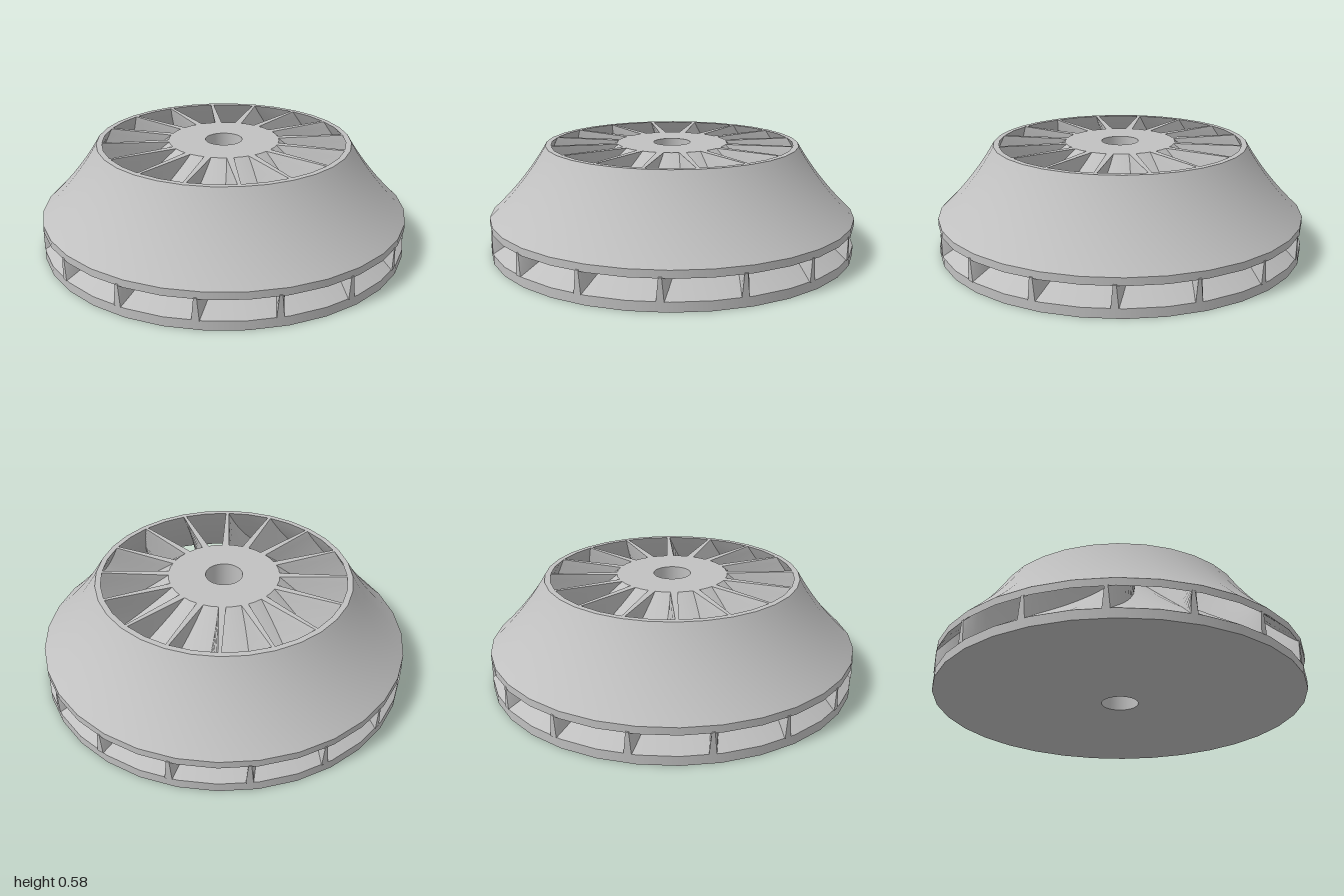
import * as THREE from 'three';
import { mergeGeometries } from 'three/addons/utils/BufferGeometryUtils.js';

const SEGMENTS = 32, BLADES = 16, STEPS = 14;
const SWEEP = THREE.MathUtils.degToRad(13.75);

// Meridional flow curves (radius, height), from the inlet to the outer rim
const v = (x, y) => new THREE.Vector2(x, y);
const arc = (a, mid, b) => new THREE.QuadraticBezierCurve(a, mid, b);
const hubCurve = arc(v(0.3, 0.58), v(0.63, 0.3), v(1, 0.05));
const shroudInner = arc(v(0.66, 0.58), v(0.79, 0.35), v(1, 0.16));
const shroudOuter = arc(v(0.69, 0.58), v(0.81, 0.375), v(1, 0.2));

// Revolve several profile spans; creases stay sharp between spans
function revolve(spans) {
  return mergeGeometries(spans.map((pts) => new THREE.LatheGeometry(pts, SEGMENTS)));
}

// One swept blade, thick at the hub and thin at the shroud
function bladeGeometry() {
  const section = (t) => {
    const h = hubCurve.getPoint(t), s = shroudInner.getPoint(t);
    const corner = (k, half, side) => {
      const p = h.clone().lerp(s, k);
      const a = -SWEEP * t, w = side * half;
      return [
        p.x * Math.sin(a) + w * Math.cos(a),
        p.y,
        p.x * Math.cos(a) - w * Math.sin(a),
      ];
    };
    return [corner(-0.03, 0.019, 1), corner(1.04, 0.008, 1),
      corner(1.04, 0.008, -1), corner(-0.03, 0.019, -1)];
  };
  const sections = [];
  for (let i = 0; i <= STEPS; i++) sections.push(section(i / STEPS));

  const positions = [], index = [];
  // Four long faces, each with its own vertices
  for (let c = 0; c < 4; c++) {
    const base = positions.length / 3;
    sections.forEach((s) => positions.push(...s[c], ...s[(c + 1) % 4]));
    for (let i = 0; i < STEPS; i++) {
      const a = base + i * 2;
      index.push(a, a + 1, a + 2, a + 1, a + 3, a + 2);
    }
  }
  // Leading and trailing edge caps
  const cap = (s, order) => {
    const base = positions.length / 3;
    s.forEach((p) => positions.push(...p));
    order.forEach((k) => index.push(base + k));
  };
  cap(sections[0], [0, 2, 1, 0, 3, 2]);
  cap(sections[STEPS], [0, 1, 2, 0, 2, 3]);

  const g = new THREE.BufferGeometry();
  g.setAttribute('position', new THREE.Float32BufferAttribute(positions, 3));
  g.setIndex(index);
  g.computeVertexNormals();
  return g;
}

export function createModel() {
  const model = new THREE.Group();
  model.name = 'closedImpeller';
  const metal = new THREE.MeshStandardMaterial({ color: 0xc0c0c0 });
  metal.name = 'lightGreyMetal';
  // Thin blades show from both sides
  const bladeMetal = metal;
  bladeMetal.side = THREE.DoubleSide;

  const add = (name, geometry, parent = model) => {
    const mesh = new THREE.Mesh(geometry, metal);
    mesh.name = name;
    parent.add(mesh);
    return mesh;
  };

  // Back plate and conical hub with a through bore
  add('hub', revolve([
    [v(0.1, 0), v(1, 0)],
    [v(1, 0), v(1, 0.05)],
    hubCurve.getPoints(STEPS).reverse(),
    [v(0.3, 0.58), v(0.1, 0.58)],
    [v(0.1, 0.58), v(0.1, 0)],
  ]));

  // Flared shroud, open at the inlet
  add('shroud', revolve([
    shroudInner.getPoints(STEPS),
    [v(1, 0.16), v(1, 0.2)],
    shroudOuter.getPoints(STEPS).reverse(),
    [v(0.69, 0.58), v(0.66, 0.58)],
  ]));

  // Ring of swept blades
  const blades = new THREE.Group();
  blades.name = 'blades';
  model.add(blades);
  const blade = bladeGeometry();
  for (let i = 0; i < BLADES; i++) {
    add('blade', blade, blades).rotation.y = (i / BLADES) * Math.PI * 2;
  }
  return model;
}
